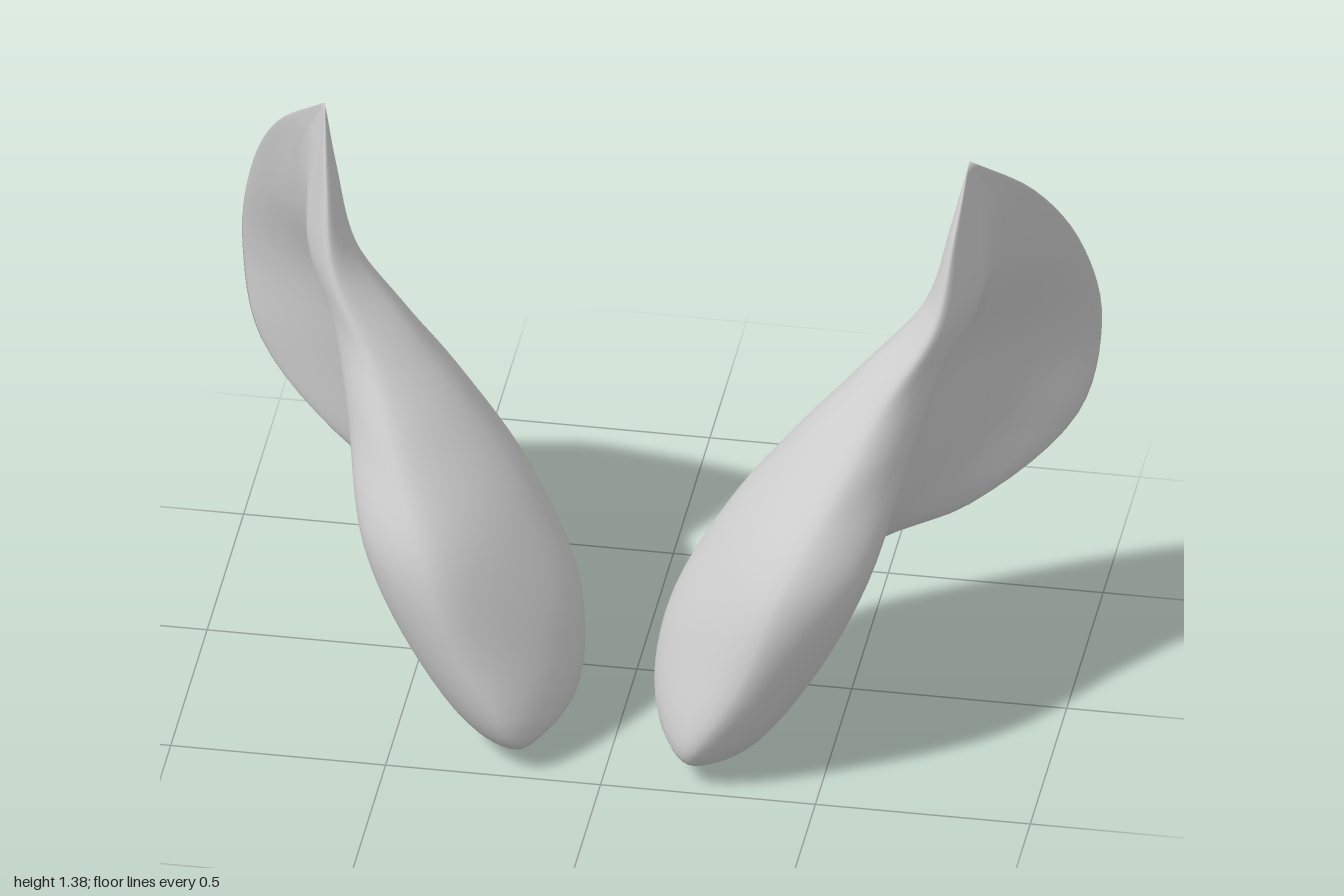
import * as THREE from 'three';
import { mergeVertices } from 'three/addons/utils/BufferGeometryUtils.js';

const material = new THREE.MeshStandardMaterial({ color: 0xcccccc, side: THREE.DoubleSide });

// Every lengthwise curve starts at the base and ends at the tip.
const BASE = [0.21, 0.005, 0.36];
const TIP = [0.75, 1.38, -0.14];
const rail = (...points) =>
  new THREE.CatmullRomCurve3([BASE, ...points, TIP].map((p) => new THREE.Vector3(...p)));

// Curves running up the ear, in order around its section.
const rails = [
  // rounded front edge
  rail([0.2, 0.08, 0.485], [0.32, 0.3, 0.49], [0.4, 0.52, 0.44], [0.5, 0.7, 0.29],
    [0.59, 0.86, 0.14], [0.7, 1.03, 0.04], [0.73, 1.22, -0.04]),
  // inner side
  rail([0.1, 0.1, 0.3], [0.1, 0.3, 0.2], [0.22, 0.53, 0.1], [0.38, 0.73, 0.05],
    [0.52, 0.88, 0], [0.66, 1.04, -0.06], [0.715, 1.23, -0.1]),
  // convex back
  rail([0.14, 0.08, 0.14], [0.27, 0.26, -0.17], [0.42, 0.45, -0.27], [0.58, 0.65, -0.32],
    [0.72, 0.82, -0.33], [0.8, 1.02, -0.27], [0.78, 1.24, -0.2]),
  // thin back rim
  rail([0.27, 0.07, 0], [0.43, 0.2, -0.28], [0.72, 0.32, -0.34], [0.95, 0.52, -0.45],
    [1, 0.75, -0.485], [0.97, 1, -0.41], [0.88, 1.24, -0.26]),
  // cup wall
  rail([0.3, 0.07, 0.06], [0.43, 0.21, -0.15], [0.6, 0.37, -0.24], [0.75, 0.6, -0.31],
    [0.82, 0.8, -0.33], [0.87, 1.01, -0.29], [0.83, 1.24, -0.21]),
  // cup floor
  rail([0.32, 0.07, 0.15], [0.42, 0.23, 0.05], [0.52, 0.42, -0.08], [0.6, 0.63, -0.14],
    [0.68, 0.82, -0.18], [0.79, 1.02, -0.2], [0.8, 1.24, -0.18]),
  // front ridge beside the cup
  rail([0.32, 0.06, 0.38], [0.46, 0.25, 0.38], [0.58, 0.5, 0.34], [0.65, 0.72, 0.14],
    [0.7, 0.88, 0.03], [0.78, 1.04, -0.08], [0.77, 1.23, -0.12]),
];

// Skin closed sections through the rails; side is +1 or -1.
function earGeometry(side, rows = 48, cols = 56) {
  const positions = [], index = [];
  for (let j = 0; j <= rows; j++) {
    const ring = rails.map((r) => r.getPoint(j / rows));
    const section = new THREE.CatmullRomCurve3(ring, true);
    const atEnd = j === 0 || j === rows;
    for (let i = 0; i < cols; i++) {
      const p = atEnd ? ring[0] : section.getPoint(i / cols);
      positions.push(side * p.x, Math.max(0, p.y), p.z);
    }
  }
  for (let j = 0; j < rows; j++) {
    for (let i = 0; i < cols; i++) {
      const next = (i + 1) % cols;
      const a = j * cols + i, b = j * cols + next;
      const c = b + cols, d = a + cols;
      const faces = [];
      if (j > 0) faces.push([a, d, b]);
      if (j < rows - 1) faces.push([b, d, c]);
      for (const f of faces) index.push(...(side > 0 ? f : f.reverse()));
    }
  }
  let geometry = new THREE.BufferGeometry();
  geometry.setAttribute('position', new THREE.Float32BufferAttribute(positions, 3));
  geometry.setIndex(index);
  geometry = mergeVertices(geometry, 1e-5);
  geometry.computeVertexNormals();
  return geometry;
}

export function createModel() {
  const group = new THREE.Group();
  group.name = 'earPair';
  for (const [name, side] of [['leftEar', 1], ['rightEar', -1]]) {
    const ear = new THREE.Mesh(earGeometry(side), material);
    ear.name = name;
    group.add(ear);
  }
  return group;
}
